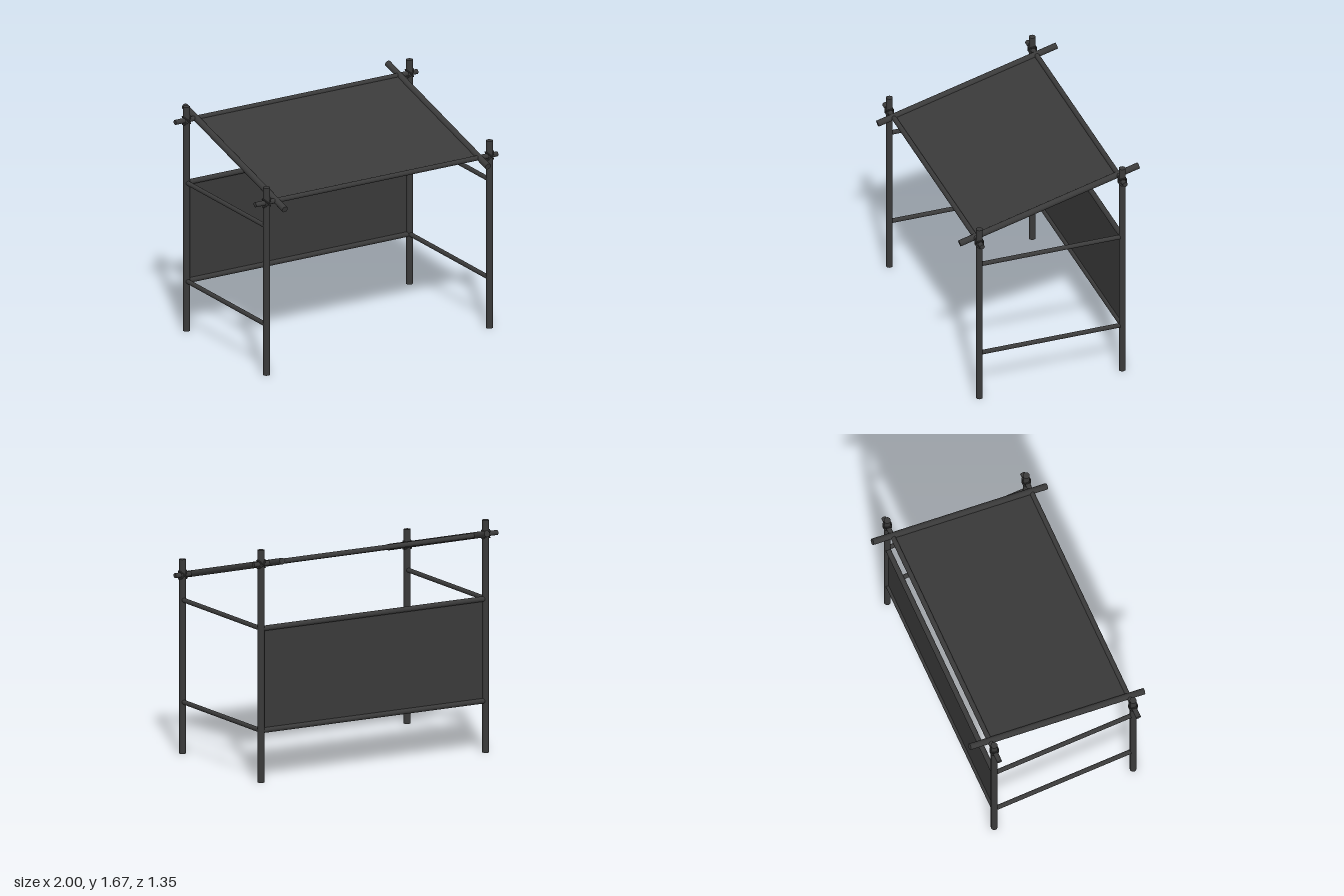
import * as THREE from 'three';

const material = new THREE.MeshStandardMaterial({ color: 0x3a3a3a });
const clothMaterial = new THREE.MeshStandardMaterial({ color: 0x3a3a3a, side: THREE.DoubleSide });

const LEFT = 0.937, RIGHT = -0.905;     // post x positions
const FRONT = 0.552, BACK = -0.517;     // post z positions
const EAVE = 1.287, RIDGE = 1.573;      // heights of the roof cross poles
const RAILS = [0.372, 1.107];           // heights of the wall rails
const SLOPE = (RIDGE - EAVE) / (FRONT - BACK);
const roofY = (z) => EAVE + (FRONT - z) * SLOPE;

// Straight round pole between two points
function pole(name, a, b, radius) {
  const from = new THREE.Vector3(...a), to = new THREE.Vector3(...b);
  const dir = to.clone().sub(from);
  const mesh = new THREE.Mesh(new THREE.CylinderGeometry(radius, radius, dir.length(), 16), material);
  mesh.position.copy(from).add(to).multiplyScalar(0.5);
  mesh.quaternion.setFromUnitVectors(new THREE.Vector3(0, 1, 0), dir.normalize());
  mesh.name = name;
  return mesh;
}

// Flat cloth spanned by a corner and two edge vectors
function cloth(name, corner, u, v) {
  const c = new THREE.Vector3(...corner), eu = new THREE.Vector3(...u), ev = new THREE.Vector3(...v);
  const geometry = new THREE.PlaneGeometry(1, 1);
  const p = geometry.attributes.position;
  for (let i = 0; i < p.count; i++) {
    const q = c.clone().addScaledVector(eu, p.getX(i) + 0.5).addScaledVector(ev, p.getY(i) + 0.5);
    p.setXYZ(i, q.x, q.y, q.z);
  }
  geometry.computeVertexNormals();
  const mesh = new THREE.Mesh(geometry, clothMaterial);
  mesh.name = name;
  return mesh;
}

// Two crossed diagonal rope rings around a joint
function lashing(x, y, z) {
  const group = new THREE.Group();
  group.name = 'ropeLashing';
  for (const side of [-1, 1]) {
    const geometry = new THREE.TorusGeometry(0.03, 0.005, 8, 24);
    geometry.scale(1.3, 1, 1).rotateX(Math.PI / 2).rotateZ(side * Math.PI / 4);
    group.add(new THREE.Mesh(geometry, material));
  }
  group.position.set(x, y, z);
  return group;
}

export function createModel() {
  const model = new THREE.Group();
  model.name = 'marketStall';

  for (const x of [RIGHT, LEFT]) {
    // Upright posts with lashed joints
    model.add(pole('frontPost', [x, 0, FRONT], [x, 1.4, FRONT], 0.024));
    model.add(pole('backPost', [x, 0, BACK], [x, 1.675, BACK], 0.024));
    model.add(lashing(x, EAVE, FRONT), lashing(x, RIDGE, BACK));
    // Side rails
    for (const y of RAILS) model.add(pole('sideRail', [x, y, BACK], [x, y, FRONT], 0.0165));
  }

  // Back wall: rails and cloth
  for (const y of RAILS) model.add(pole('backRail', [RIGHT, y, BACK], [LEFT, y, BACK], 0.019));
  model.add(cloth('backCloth', [RIGHT, RAILS[0], BACK], [LEFT - RIGHT, 0, 0], [0, RAILS[1] - RAILS[0], 0]));

  // Roof: cross poles, sloping poles and cloth
  model.add(pole('frontRoofPole', [-1, EAVE, FRONT], [1, EAVE, FRONT], 0.018));
  model.add(pole('backRoofPole', [-1, RIDGE, BACK], [1, RIDGE, BACK], 0.018));
  const x0 = -0.825, x1 = 0.853, end = 0.67;
  for (const x of [x0, x1]) {
    model.add(pole('slopingRoofPole', [x, roofY(end), end], [x, roofY(-end), -end], 0.023));
  }
  model.add(cloth('roofCloth', [x0, EAVE, FRONT], [x1 - x0, 0, 0], [0, RIDGE - EAVE, BACK - FRONT]));

  return model;
}
